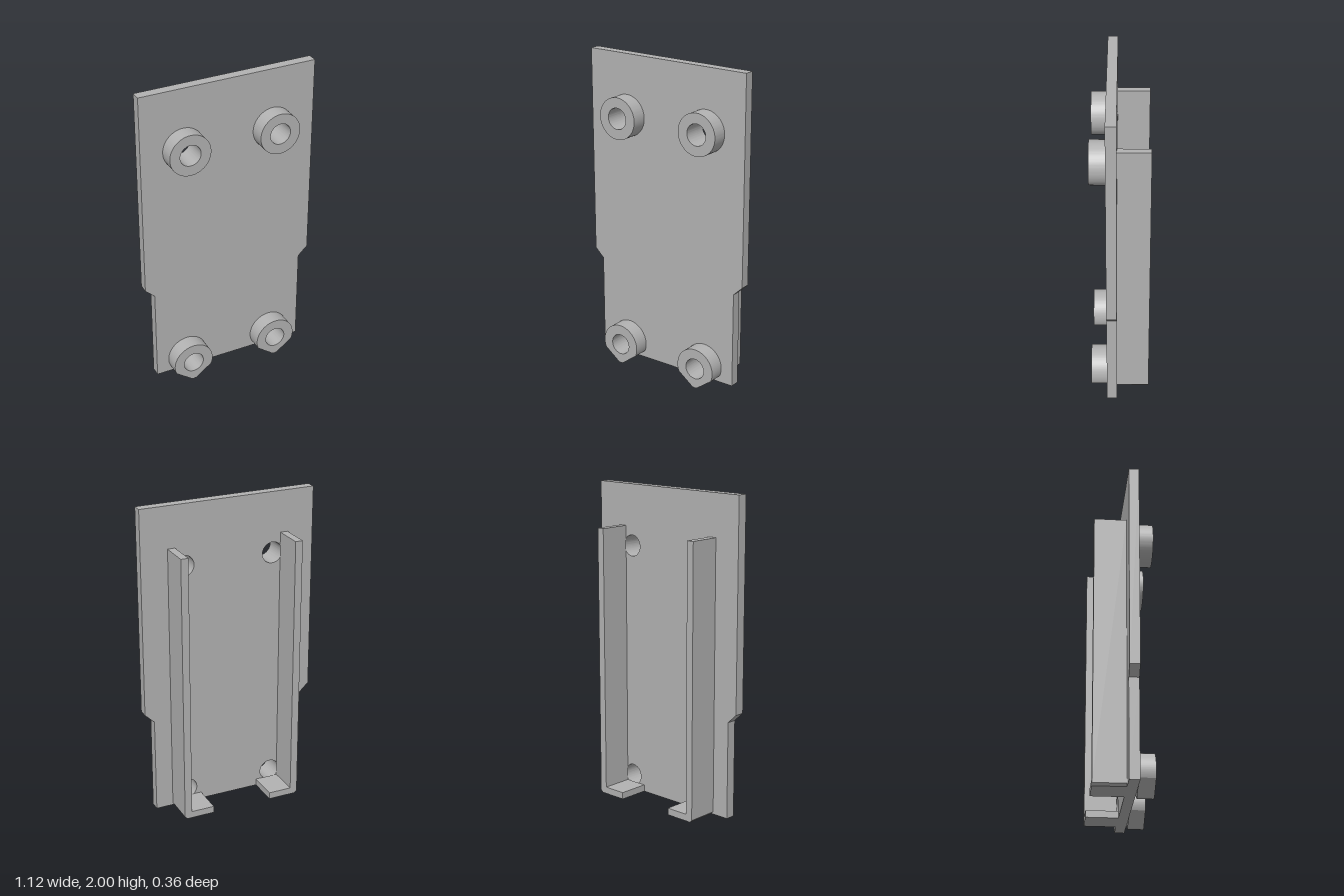
import * as THREE from 'three';
import { toCreasedNormals } from 'three/addons/utils/BufferGeometryUtils.js';

const HOLE_X = 0.29, TOP_Y = 1.62, LOW_Y = 0.13, HOLE_R = 0.066, BOSS_R = 0.13;
const BACK = -0.178, PLATE_BACK = 0.018, PLATE_FRONT = 0.08, BOSS_FRONT = 0.178;

const shapeOf = (points) => new THREE.Shape(points.map(([x, y]) => new THREE.Vector2(x, y)));

function addHole(shape, x, y) {
  const hole = new THREE.Path();
  hole.absarc(x, y, HOLE_R, 0, Math.PI * 2, true);
  shape.holes.push(hole);
}

// Extrude a front outline between two depths
function extrude(shape, z0, z1) {
  const geo = new THREE.ExtrudeGeometry(shape, { depth: z1 - z0, bevelEnabled: false, curveSegments: 48 });
  geo.translate(0, 0, z0);
  return toCreasedNormals(geo, 0.4);
}

export function createModel() {
  const group = new THREE.Group();
  const grey = new THREE.MeshStandardMaterial({ color: 0xb2b2b2 });
  grey.name = 'plain grey';

  const add = (name, geo) => {
    const mesh = new THREE.Mesh(geo, grey);
    mesh.name = name;
    group.add(mesh);
  };

  // Plate, narrower near the bottom, with four through holes
  const plate = shapeOf([
    [-0.5, 0.037], [0.5, 0.037], [0.5, 0.645], [0.56, 0.702],
    [0.56, 2], [-0.56, 2], [-0.56, 0.702], [-0.5, 0.645],
  ]);
  for (const x of [-HOLE_X, HOLE_X]) for (const y of [LOW_Y, TOP_Y]) addHole(plate, x, y);
  add('backPlate', extrude(plate, PLATE_BACK, PLATE_FRONT));

  for (const [side, s] of [['left', 1], ['right', -1]]) {
    const x = s * HOLE_X;

    // Round upper boss
    const upper = new THREE.Shape();
    upper.absarc(x, TOP_Y, BOSS_R, 0, Math.PI * 2, false);
    addHole(upper, x, TOP_Y);
    add(side + 'UpperBoss', extrude(upper, PLATE_FRONT, BOSS_FRONT));

    // Lower boss, trimmed to a blunt point underneath
    const lower = new THREE.Shape();
    const a = Math.PI / 8;
    lower.absarc(x, LOW_Y, BOSS_R, -a, Math.PI + a, false);
    lower.lineTo(x - 0.015, 0.002);
    lower.lineTo(x, 0);
    lower.lineTo(x + 0.015, 0.002);
    lower.closePath();
    addHole(lower, x, LOW_Y);
    add(side + 'LowerBoss', extrude(lower, PLATE_FRONT, BOSS_FRONT));

    // L-shaped rail with an inward foot and a chamfered outer corner
    const rail = shapeOf([
      [0.195, 0.037], [0.375, 0.037], [0.39, 0.052], [0.39, 1.74],
      [0.343, 1.74], [0.343, 0.08], [0.195, 0.08],
    ].map(([px, py]) => [s * px, py]));
    add(side + 'Rail', extrude(rail, BACK, PLATE_BACK));
  }
  return group;
}
